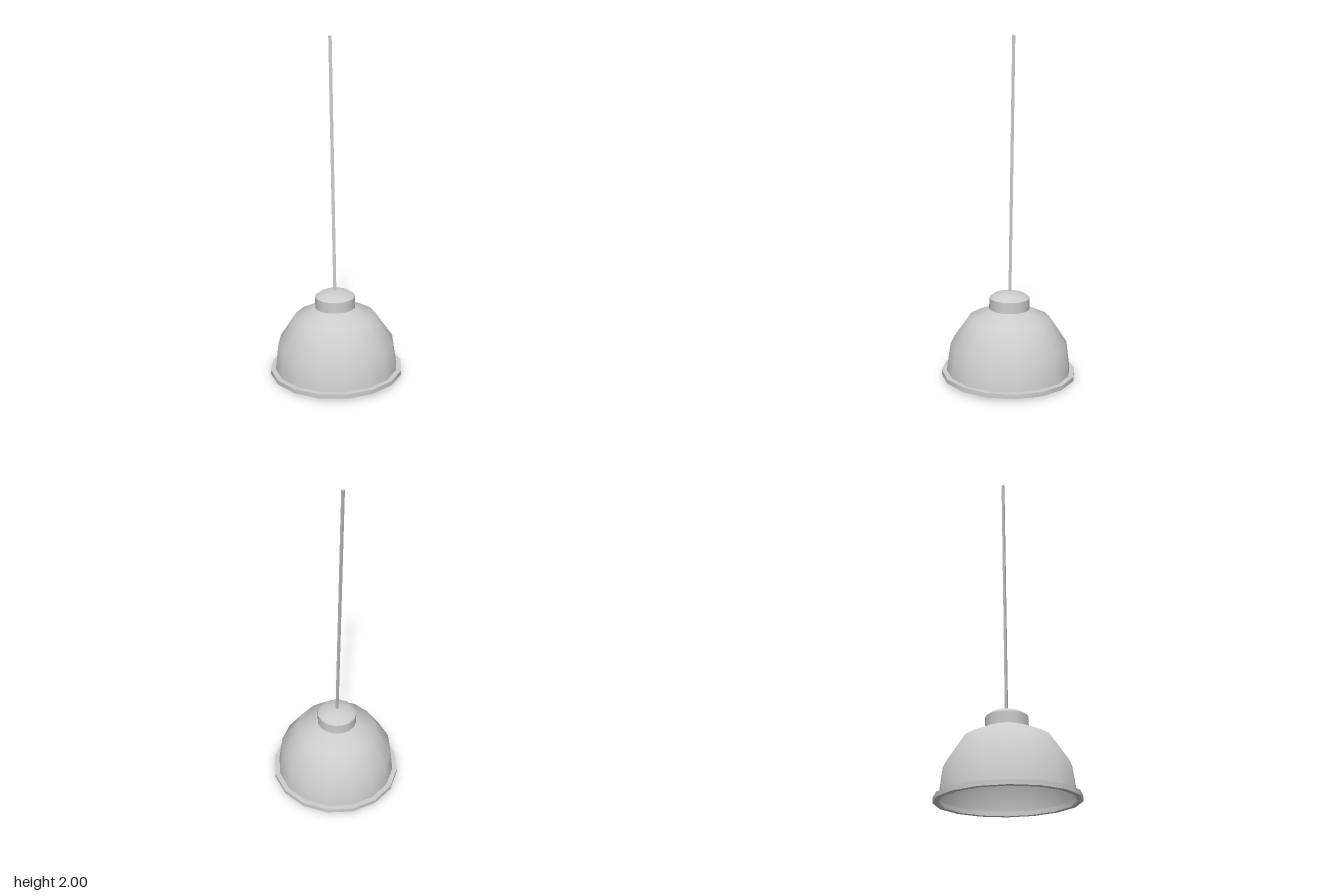
import * as THREE from 'three';

const SIDES = 16;

export function createModel() {
  const model = new THREE.Group();
  model.name = 'pendantLamp';

  const grey = new THREE.MeshStandardMaterial({ color: 0xcccccc, side: THREE.DoubleSide });
  grey.name = 'light grey';

  // The whole lamp hangs with a slight backward tilt
  const lamp = new THREE.Group();
  lamp.name = 'tiltedLamp';
  lamp.rotation.x = -0.022;
  model.add(lamp);

  // Each smooth section is its own lathe, so the edges between them stay sharp
  function lathe(name, profile) {
    const points = profile.map(([r, y]) => new THREE.Vector2(r, y));
    const mesh = new THREE.Mesh(new THREE.LatheGeometry(points, SIDES), grey);
    mesh.name = name;
    lamp.add(mesh);
  }

  // Open bell-shaped shade
  lathe('shade', [[0.37, 0.035], [0.348, 0.2], [0.243, 0.357], [0.12, 0.412], [0.08, 0.42]]);

  // Flat rim band around the opening
  lathe('rimUnderside', [[0.37, 0.009], [0.4, 0.009]]);
  lathe('rimEdge', [[0.4, 0.009], [0.4, 0.035]]);
  lathe('rimTop', [[0.4, 0.035], [0.37, 0.035]]);
  lathe('rimInside', [[0.37, 0.035], [0.37, 0.009]]);

  // Collar and its domed cap
  lathe('collar', [[0.12, 0.41], [0.12, 0.478]]);
  lathe('cap', [[0.12, 0.478], [0.09, 0.5], [0.045, 0.512], [0, 0.516]]);

  // Thin three-sided cord
  const cordGeometry = new THREE.CylinderGeometry(0.011, 0.011, 1.49, 3).toNonIndexed();
  cordGeometry.computeVertexNormals();
  const cord = new THREE.Mesh(cordGeometry, grey);
  cord.name = 'cord';
  cord.position.y = 0.51 + 1.49 / 2;
  lamp.add(cord);

  return model;
}
